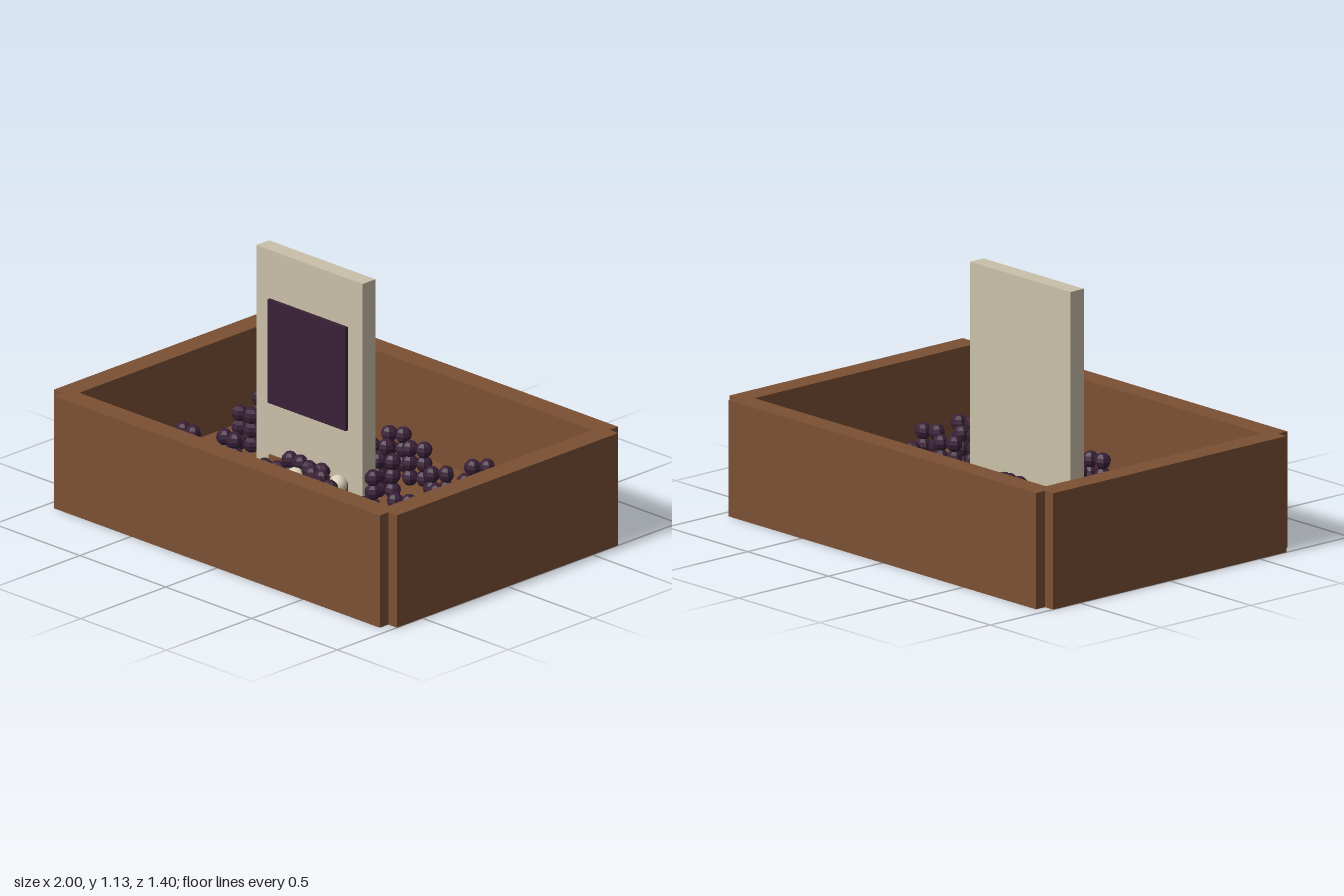
import * as THREE from 'three';

function material(name, color, flat) {
  const m = new THREE.MeshStandardMaterial({ color });
  m.name = name;
  m.flatShading = flat;
  return m;
}

export function createModel() {
  const root = new THREE.Group();
  root.name = 'fruitCrate';
  const wood = material('brownWood', 0x7a5033, true);
  const cream = material('creamBoard', 0xc9c0a8, true);
  const plum = material('darkPlum', 0x3a2138, true);
  const ivory = material('ivory', 0xd8d0b8, false);

  // Box given by its minimum and maximum corners
  const box = (name, mat, [x0, y0, z0], [x1, y1, z1]) => {
    const mesh = new THREE.Mesh(new THREE.BoxGeometry(x1 - x0, y1 - y0, z1 - z0), mat);
    mesh.position.set((x0 + x1) / 2, (y0 + y1) / 2, (z0 + z1) / 2);
    mesh.name = name;
    root.add(mesh);
  };

  // Crate: floor and four walls with notched corners
  box('crateFloor', wood, [-0.95, 0.002, -0.65], [0.95, 0.1, 0.65]);
  box('frontWall', wood, [-0.95, 0, 0.6], [0.95, 0.5, 0.7]);
  box('backWall', wood, [-0.95, 0, -0.7], [0.95, 0.5, -0.6]);
  box('leftWall', wood, [0.9, 0, -0.65], [1, 0.5, 0.65]);
  box('rightWall', wood, [-1, 0, -0.65], [-0.9, 0.5, 0.65]);

  // Upright sign board with a dark panel and a lower plaque
  box('signBoard', cream, [-0.43, 0, -0.04], [0.19, 1.13, 0.035]);
  box('signPanel', plum, [-0.35, 0.455, 0.035], [0.105, 0.915, 0.05]);
  box('signPlaque', wood, [-0.35, 0.1, 0.035], [0.105, 0.222, 0.045]);

  // Bunches: tilt of each bed and the x, z of its bunches
  const beds = [
    ['backRightBed', 12, [[-0.725, -0.32], [-0.57, -0.43], [-0.57, -0.27], [-0.415, -0.315], [-0.665, -0.14], [-0.48, -0.14]]],
    ['frontRightBed', 0, [[-0.7, 0.165], [-0.52, 0.1], [-0.57, 0.255], [-0.41, 0.255], [-0.7, 0.355], [-0.52, 0.41]]],
    ['backMiddleBed', 30, [[-0.065, -0.42], [0.115, -0.36], [-0.185, -0.275], [-0.02, -0.275], [0.115, -0.175], [-0.065, -0.12]]],
    ['frontMiddleBed', 15, [[-0.17, 0.21], [-0.02, 0.255], [0.135, 0.21], [-0.12, 0.385], [0.075, 0.385], [-0.02, 0.1]]],
    ['backLeftBed', 48, [[0.44, -0.4], [0.635, -0.395], [0.375, -0.225], [0.53, -0.265], [0.68, -0.21], [0.525, -0.1]]],
    ['frontLeftBed', 30, [[0.485, 0.1], [0.665, 0.165], [0.365, 0.25], [0.53, 0.255], [0.66, 0.36], [0.475, 0.41]]],
    ['signBed', 0, [[-0.15, 0.09], [0.03, 0.145], [-0.15, -0.1], [0.035, -0.16], [0.18, -0.005]]],
  ];
  const berry = new THREE.SphereGeometry(0.036, 7, 6);
  for (const [name, degrees, bunches] of beds) {
    const bed = new THREE.Group();
    bed.name = name;
    const a = THREE.MathUtils.degToRad(degrees);
    for (const [x, z] of bunches) {
      for (const side of [-1, 1]) {
        for (const y of [0.135, 0.2, 0.262]) {
          const mesh = new THREE.Mesh(berry, plum);
          mesh.name = 'berry';
          mesh.position.set(x + side * 0.03 * Math.cos(a), y, z - side * 0.03 * Math.sin(a));
          mesh.rotation.y = a;
          bed.add(mesh);
        }
      }
    }
    root.add(bed);
  }

  // Pale balls beside the sign
  const ball = new THREE.SphereGeometry(0.04, 16, 12);
  for (const [x, z] of [[-0.13, -0.095], [0.045, -0.085], [0.075, 0.065], [-0.11, 0.13]]) {
    const mesh = new THREE.Mesh(ball, ivory);
    mesh.name = 'paleBall';
    mesh.position.set(x, 0.215, z);
    root.add(mesh);
  }
  return root;
}
